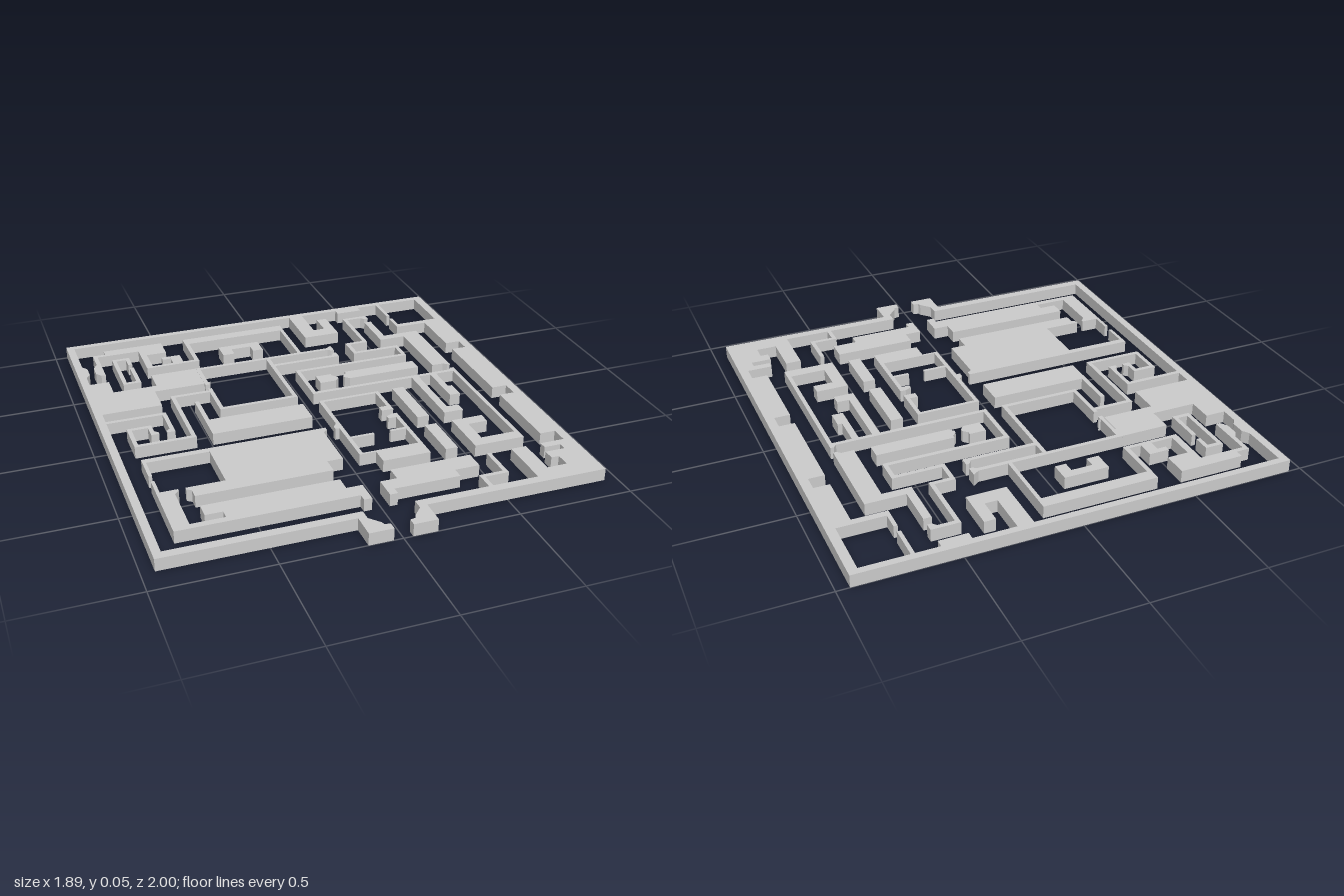
import * as THREE from 'three';

// Plan coordinates are hundredths of a unit, written as x, z pairs.
const HEIGHT = 0.055;
const HALF_WALL = 0.95;

export function createModel() {
  const maze = new THREE.Group();
  maze.name = 'mazePlan';
  const material = new THREE.MeshStandardMaterial({ color: 0xcccccc, flatShading: true });

  // Solid upright block from a plan outline
  function slab(name, flat) {
    const points = [];
    for (let i = 0; i < flat.length; i += 2) {
      points.push(new THREE.Vector2(flat[i] / 100, -flat[i + 1] / 100));
    }
    const geometry = new THREE.ExtrudeGeometry(new THREE.Shape(points), { depth: HEIGHT, bevelEnabled: false });
    geometry.rotateX(-Math.PI / 2);
    const mesh = new THREE.Mesh(geometry, material);
    mesh.name = name;
    maze.add(mesh);
  }

  const box = (name, x0, z0, x1, z1) => slab(name, [x0, z0, x1, z0, x1, z1, x0, z1]);

  // Thin wall of constant width along a right-angled centre line
  function wall(name, flat) {
    const p = [];
    for (let i = 0; i < flat.length; i += 2) p.push([flat[i], flat[i + 1]]);
    const normals = p.slice(1).map((b, i) => {
      const dx = b[0] - p[i][0], dz = b[1] - p[i][1], l = Math.hypot(dx, dz);
      return [-dz / l, dx / l];
    });
    const side = (s) => p.map(([x, z], i) => {
      const a = normals[i - 1] || [0, 0], b = normals[i] || [0, 0];
      return [x + s * HALF_WALL * (a[0] + b[0]), z + s * HALF_WALL * (a[1] + b[1])];
    });
    slab(name, [...side(1), ...side(-1).reverse()].flat());
  }

  // Outer frame
  box('frameLeft', -94.5, -100, -91, 89);
  slab('frameTop', [-91, -100, 94.5, -100, 94.5, -97, 70, -97, 70, -82, 68.3, -82, 68.3, -97,
    58, -97, 58, -93.5, 45.5, -93.5, 45.5, -97, 27, -97, 27, -78.5, 32.5, -78.5, 32.5, -89.5,
    37.5, -89.5, 37.5, -71.5, 20, -71.5, 20, -97, -91, -97]);
  slab('frameRight', [94.5, -97, 94.5, 89, 65.5, 89, 65.5, 61.5, 72.5, 61.5, 72.5, 80, 81.5, 80,
    81.5, 73.5, 78, 73.5, 78, 68.5, 87, 68.5, 87, 65, 79.5, 65, 79.5, 61.5, 90.5, 61.5,
    90.5, 54, 83.5, 54, 83.5, 16, 90.5, 16, 90.5, 8.5, 83.5, 8.5, 83.5, -35, 90.5, -35,
    90.5, -42, 83.5, -42, 83.5, -68, 68.3, -68, 68.3, -78.5, 70, -78.5, 70, -71, 90.5, -71, 90.5, -97]);

  // Front frame with the mirrored entrance gate
  const gate = [85, 11, 85, 11, 90, 7, 94.5, 6.5, 96, 4, 96.5, 4, 100, 14.5, 100, 14.5, 89];
  slab('frameFrontRight', [65.5, ...gate, 65.5, 89]);
  slab('frameFrontLeft', [91, ...gate, 91, 89].map((v, i) => (i % 2 ? v : -v)));
  wall('frontSpur', [44.3, 85, 44.3, 77, 55, 77, 55, 61.5]);

  // Back left maze
  slab('backWall', [-38.5, -89.5, 12.5, -89.5, 12.5, -56.5, 10.8, -56.5, 10.8, -84, -36.5, -84,
    -36.5, -64.2, -62, -64.2, -62, -84, -82, -84, -82, -64, -84, -64, -86, -67, -86, -73,
    -84, -76, -84, -86, -78, -86, -78, -89.5, -49.5, -89.5, -49.5, -78.5, -59, -78.5,
    -59, -66, -49, -66, -49, -71, -53, -71, -53, -73.5, -44, -73.5, -44, -66, -38.5, -66]);
  wall('backCell', [-68.8, -71, -68.8, -77.6, -75.2, -77.6, -75.2, -52.3, -68.8, -52.3, -68.8, -67.5]);
  slab('backArch', [-24, -75, -4, -75, -4, -66, -9, -66, -9, -71, -18.5, -71, -18.5, -66, -24, -66]);
  slab('leftBlock', [-91, -56.5, -82, -56.5, -82, -45.5, -62, -45.5, -62, -56.5, -40.5, -56.5,
    -40.5, -40, -64, -40, -64, -26, -91, -26]);

  // Square room and its branches
  wall('roomBackWall', [-39.5, -38.5, -39.5, -55.6, 28.5, -55.6]);
  wall('roomFrontWall', [-4.9, -54.6, -4.9, -14.2, -39.5, -14.2, -39.5, -34.5]);
  wall('corridorWall', [-4, -47.3, 28.5, -47.3]);
  wall('leftBranch', [-40.4, -32, -57.6, -32, -57.6, 6.1, -82.8, 6.1, -82.8, -8.5, -73.8, -8.5, -73.8, -1]);
  wall('leftSpur', [-91, -18, -65, -18, -65, -1]);

  // Back right maze
  wall('rightWinding', [58, -85.2, 46.4, -85.2, 46.4, -57.5, 37.3, -57.5, 37.3, -47.2, 58.8, -47.2,
    58.8, -37.5, 4.5, -37.5, 4.5, -14.2, 75.5, -14.2]);
  slab('rightBlock', [54.5, -78.5, 58, -78.5, 58, -60.5, 75.5, -60.5, 75.5, -22, 67, -22,
    67, -56.5, 54.5, -56.5]);
  slab('shortBar', [10.5, -29.5, 18, -29.5, 18, -28, 20, -26, 20, -24.5, 18, -22.5, 10.5, -22.5]);
  slab('longBar', [25, -29.5, 59.8, -29.5, 59.8, -22.5, 25, -22.5, 23, -24.5, 23, -26, 25, -28]);

  // Right enclosure with hanging walls
  slab('rightEnclosure', [73.7, -13.3, 75.5, -13.3, 75.5, 54, 52.5, 54, 52.5, 30.5, 67, 30.5,
    67, 36, 58, 36, 58, 48.5, 73.7, 48.5]);
  slab('rightHook', [52.5, -13.3, 56, -13.3, 56, 18, 61.5, 18, 61.5, 23, 52.5, 23]);
  slab('rightStub', [62, -13.3, 65, -13.3, 65, 0, 67, 0, 67, 8.5, 62, 8.5]);
  box('pillarBack', 39.5, -6, 45, 23);
  box('pillarFront', 39.5, 30.5, 45, 52.5);

  // Centre right room
  slab('centreRoom', [30.7, 8.5, 30.7, -4.4, 5.4, -4.4, 5.4, 29, 16, 29, 16, 30.5, 5.4, 30.5,
    5.4, 43.5, 30.7, 43.5, 30.7, 30.5, 23.5, 30.5, 23.5, 29, 30.7, 29, 30.7, 19.5, 27, 19.5,
    27, 17.5, 30, 16, 32.5, 16, 32.5, 52.5, 11, 52.5, 11, 44.5, 3.6, 44.5, 3.6, 20.5, 1.7, 20.5,
    1.7, 18.5, 3.6, 16, 3.6, -6, 32.5, -6, 32.5, 12, 27, 12, 27, 8.5]);

  // Left front blocks
  slab('middleBlock', [-49.5, -24, -47.5, -24, -47.5, -6, -4, -6, -4, 7, -49.5, 7]);
  slab('frontLeftBlock', [-83.5, 18, -2, 18, -2, 20, -4, 21.5, -4, 45, -11, 45, -11, 52.5,
    -69.5, 52.5, -69.5, 48, -71.5, 46.5, -71.5, 45.2, -54.8, 45.2, -54.8, 21, -82, 21, -82, 32, -83.5, 32]);
  slab('frontLeftWall', [-83.5, 36, -82, 36, -82, 45.2, -74.5, 45.2, -74.5, 46.5, -76.5, 48.5,
    -76.5, 71, -62, 71, -62, 67, -69.5, 67, -69.5, 60, -11, 60, -11, 67, -4, 67, -4, 77.5,
    -7.5, 77.5, -7.5, 74, -83.5, 74]);
  slab('frontRightBlock', [3.6, 67, 11, 67, 11, 60, 47, 60, 47, 69, 36, 69, 36, 74, 7, 74, 7, 77.5, 3.6, 77.5]);

  // Door posts that narrow the openings
  const posts = [
    [-91, -76, -89, -73, -89, -67, -91, -64],
    [-40.4, -40, -40.4, -38.5, -38.5, -38.5, -38.5, -41, -37.5, -41, -40.4, -41],
    [-72.9, -4, -71.2, -2.5, -71.2, -1, -72.9, -1],
    [-65.9, -4, -67.6, -2.5, -67.6, -1, -65.9, -1],
    [25.5, -56.5, 28.5, -58.5, 28.5, -56.5],
    [25.5, -54.7, 28.5, -54.7, 28.5, -53.5, 27, -53.5],
    [25.5, -48.2, 27, -50.5, 28.5, -50.5, 28.5, -48.2],
    [54.5, -84.3, 56, -82.5, 58, -82.5, 58, -84.3],
    [72.5, -22, 75.5, -22, 75.5, -20.5, 74, -20.5],
    [72.5, -15.1, 74, -16.7, 75.5, -16.7, 75.5, -15.1],
  ];
  posts.forEach((p) => slab('doorPost', p));

  return maze;
}
